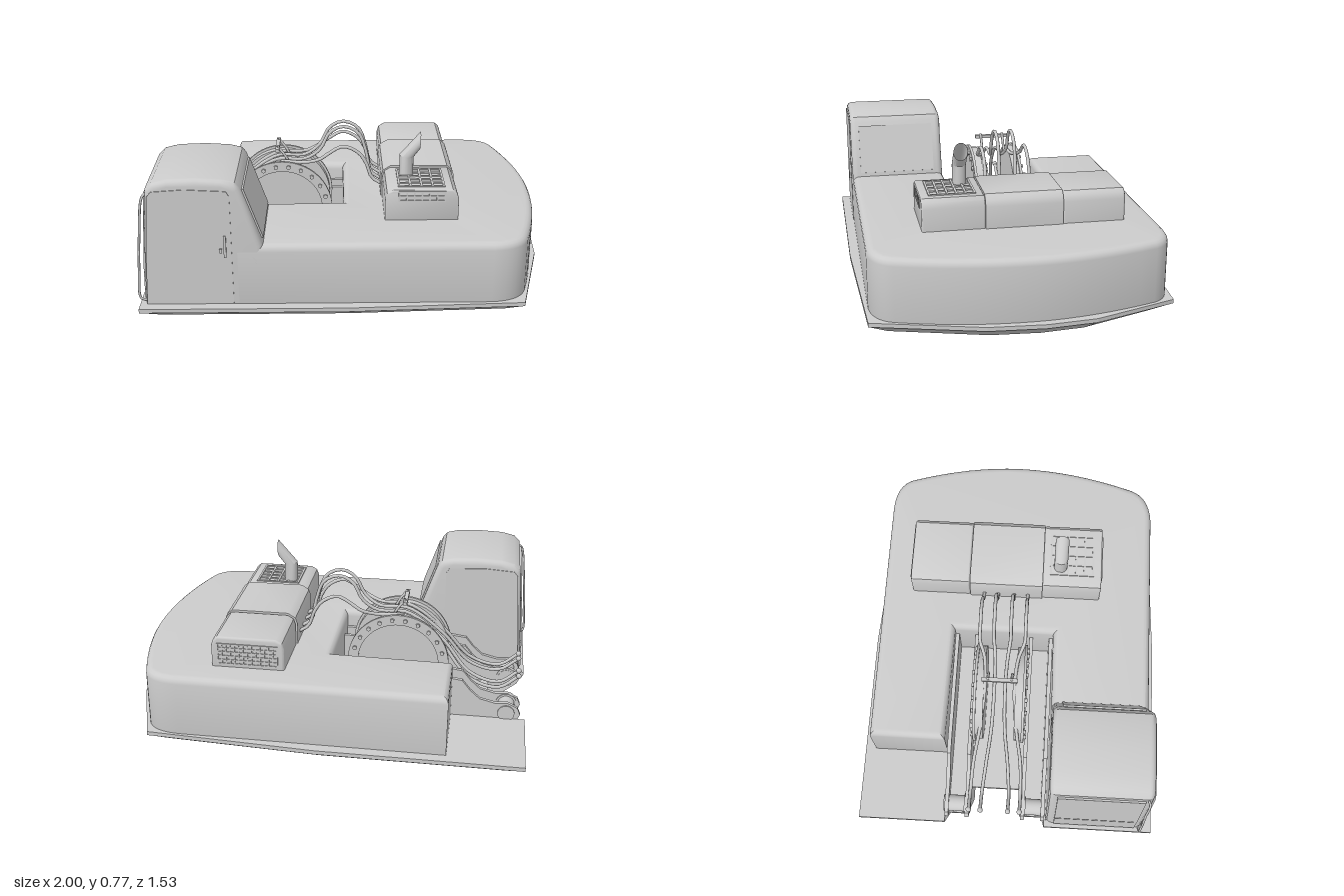
import * as THREE from 'three';
import { toCreasedNormals } from 'three/addons/utils/BufferGeometryUtils.js';

const mat = new THREE.MeshStandardMaterial({ color: 0xcccccc, side: THREE.DoubleSide });
const MID = -0.06; // z of the boom centre line

export function createModel() {
  const root = new THREE.Group();
  const add = (name, geo, parent = root) => {
    const m = new THREE.Mesh(geo, mat);
    m.name = name;
    parent.add(m);
    return m;
  };
  const group = (name) => {
    const g = new THREE.Group();
    g.name = name;
    root.add(g);
    return g;
  };
  const shapeOf = (pts) => new THREE.Shape(pts.map(([a, b]) => new THREE.Vector2(a, b)));
  const extrude = (shape, depth, bevel = 0) => new THREE.ExtrudeGeometry(shape, {
    depth: depth - 2 * bevel, bevelEnabled: bevel > 0, bevelSize: bevel, bevelThickness: bevel,
    bevelOffset: -bevel, bevelSegments: 4, curveSegments: 8,
  }).translate(0, 0, bevel);
  const crease = (g) => toCreasedNormals(g, 0.6);
  // profile in x/y, pushed from z0 to z1
  const side = (pts, z0, z1, bevel = 0) => crease(extrude(shapeOf(pts), z1 - z0, bevel).translate(0, 0, z0));
  // plan in x/z, pushed from y0 to y1
  const plan = (shape, y0, y1, bevel = 0) => extrude(shape, y1 - y0, bevel).rotateX(-Math.PI / 2).translate(0, y0, 0);
  const planShape = (pts) => shapeOf(pts.map(([x, z]) => [x, -z]));
  const box = (name, w, h, d, x, y, z, parent) => add(name, new THREE.BoxGeometry(w, h, d).translate(x, y, z), parent);
  const tube = (name, pts, r, parent) => add(name, new THREE.TubeGeometry(
    new THREE.CatmullRomCurve3(pts.map((p) => new THREE.Vector3(...p))), 48, r, 8), parent);

  // Deck plate with the boom notch, and its tapered underside
  const deck = planShape([
    [-0.99, -0.77], [0, -0.77], [0.84, -0.72], [0.98, -0.31], [1, -0.07], [0.98, 0.2], [0.84, 0.72], [0, 0.76],
    [-0.99, 0.76], [-0.99, 0.2], [-0.94, 0.2], [-0.94, 0.08], [-0.8, 0.08], [-0.8, -0.2], [-0.94, -0.2], [-0.94, -0.32], [-0.99, -0.32],
  ]);
  add('deckPlate', plan(deck, 0.065, 0.085));
  const under = plan(deck, 0, 0.066);
  const p = under.attributes.position;
  for (let i = 0; i < p.count; i++) {
    if (p.getY(i) < 0.01) p.setXYZ(i, p.getX(i) * 0.905, 0, p.getZ(i) * 0.87);
  }
  under.computeVertexNormals();
  add('deckUnderside', under);

  // U-shaped housing with a bowed counterweight end
  const body = new THREE.Shape();
  body.moveTo(-0.62, 0.715);
  body.lineTo(0.68, 0.715);
  body.quadraticCurveTo(0.82, 0.71, 0.855, 0.62);
  body.quadraticCurveTo(0.96, 0.3, 0.96, 0.03);
  body.quadraticCurveTo(0.96, -0.28, 0.855, -0.6);
  body.quadraticCurveTo(0.82, -0.7, 0.68, -0.71);
  body.lineTo(-0.52, -0.71);
  body.lineTo(-0.52, -0.21);
  body.lineTo(-0.02, -0.2);
  body.lineTo(-0.02, 0.32);
  body.lineTo(-0.62, 0.33);
  body.closePath();
  add('housing', crease(plan(body, 0.04, 0.39, 0.035)));

  // Cab
  const cab = group('cab');
  add('cabShell', side([
    [-0.4, 0.06], [-0.4, 0.39], [-0.5, 0.675], [-0.52, 0.7], [-0.58, 0.715], [-0.7, 0.722], [-0.83, 0.717],
    [-0.9, 0.7], [-0.93, 0.67], [-0.945, 0.5], [-0.96, 0.25], [-0.965, 0.06],
  ], 0.21, 0.71, 0.03), cab);
  const door = [[-0.955, 0.09], [-0.545, 0.09], [-0.545, 0.64], [-0.56, 0.665], [-0.75, 0.675], [-0.9, 0.665], [-0.92, 0.64], [-0.945, 0.3]];
  add('door', side(door, 0.705, 0.714), cab);
  add('innerPanel', side(door, 0.206, 0.215), cab);
  box('doorHandle', 0.012, 0.11, 0.012, -0.575, 0.39, 0.718, cab);
  box('doorLock', 0.012, 0.02, 0.012, -0.595, 0.37, 0.718, cab);
  // panel of given width laid along a sloping line in x/y
  const sloped = (name, [x0, y0], [x1, y1], z0, z1) => {
    const m = box(name, 0.012, Math.hypot(x1 - x0, y1 - y0), z1 - z0, 0, 0, 0, cab);
    m.position.set((x0 + x1) / 2, (y0 + y1) / 2, (z0 + z1) / 2);
    m.rotation.z = -Math.atan2(x1 - x0, y1 - y0);
  };
  sloped('rearWindow', [-0.405, 0.41], [-0.49, 0.655], 0.26, 0.665);
  sloped('windscreen', [-0.962, 0.25], [-0.936, 0.64], 0.25, 0.67);
  sloped('frontPanel', [-0.966, 0.1], [-0.962, 0.24], 0.25, 0.67);
  tube('grabRail', [[-0.95, 0.1, 0.69], [-0.985, 0.11, 0.695], [-0.985, 0.25, 0.695], [-0.97, 0.45, 0.69], [-0.945, 0.63, 0.69], [-0.925, 0.65, 0.68]], 0.006, cab);

  // Engine hood in three sections
  const hood = group('engineHood');
  const hoodProfile = (e) => [
    [0.18 - e, 0.38], [0.54 + e, 0.38], [0.54 + e, 0.5], [0.53 + e, 0.53], [0.51, 0.547 + e],
    [0.22, 0.547 + e], [0.19 - e, 0.53], [0.18 - e, 0.5],
  ];
  add('hoodRight', side(hoodProfile(0), 0.13, 0.435, 0.008), hood);
  add('hoodLeft', side(hoodProfile(0), -0.56, -0.25, 0.012), hood);
  add('hoodCentre', side(hoodProfile(0.007), -0.25, 0.13), hood);
  // perforated plate w by h, lying in x/y from the origin
  const grille = (w, h, nx, ny, bar) => {
    const s = shapeOf([[0, 0], [w, 0], [w, h], [0, h]]);
    const cw = (w - bar) / nx, ch = (h - bar) / ny;
    for (let i = 0; i < nx; i++) {
      for (let j = 0; j < ny; j++) {
        const a = bar + i * cw, b = bar + j * ch, c = a + cw - bar, d = b + ch - bar;
        s.holes.push(new THREE.Path([[a, b], [a, d], [c, d], [c, b]].map((q) => new THREE.Vector2(...q))));
      }
    }
    return extrude(s, 0.007);
  };
  add('topGrille', grille(0.23, 0.23, 4, 5, 0.01).rotateX(-Math.PI / 2).translate(0.245, 0.546, 0.395), hood);
  add('sideGrille', grille(0.23, 0.055, 6, 2, 0.008).translate(0.245, 0.488, 0.433), hood);
  add('radiatorGrille', grille(0.3, 0.11, 14, 5, 0.006).translate(0.21, 0.405, -0.565), hood);

  // Exhaust: upright pipe, mitred elbow, upright open mouth
  const rings = [[0.295, 0.5, 0.035, 0], [0.295, 0.645, 0.035, -0.005], [0.362, 0.725, 0.002, 0.045]];
  const N = 20, pos = [], idx = [];
  rings.forEach(([cx, cy, ax, ay], r) => {
    for (let i = 0; i <= N; i++) {
      const a = (i / N) * Math.PI * 2;
      // last ring stands upright: the side facing -x becomes its top
      const c = Math.cos(a) * (r === 2 ? -1 : 1);
      pos.push(cx + ax * c, cy + ay * c, 0.22 + 0.035 * Math.sin(a));
      if (r < 2 && i < N) {
        const k = r * (N + 1) + i;
        idx.push(k, k + N + 1, k + 1, k + 1, k + N + 1, k + N + 2);
      }
    }
  });
  const pipe = new THREE.BufferGeometry();
  pipe.setAttribute('position', new THREE.Float32BufferAttribute(pos, 3));
  pipe.setIndex(idx);
  add('exhaust', toCreasedNormals(pipe, 0.5));

  // Boom foot: bracket plates, pivot pins and bolted discs, mirrored about the centre line
  const bracket = [
    [-0.02, 0.06], [-0.02, 0.3], [-0.6, 0.29], [-0.67, 0.28], [-0.71, 0.23], [-0.76, 0.185], [-0.84, 0.165],
    [-0.9, 0.17], [-0.95, 0.145], [-0.965, 0.11], [-0.95, 0.075], [-0.9, 0.06],
  ];
  for (const s of [-1, 1]) {
    const foot = group(s < 0 ? 'leftBoomFoot' : 'rightBoomFoot');
    for (const off of [0.25, 0.145]) {
      const z = MID + s * off;
      add('bracketPlate', side(bracket, z - 0.01, z + 0.01), foot);
    }
    const cyl = (name, r, len, x, y, z, n = 32) => add(name, new THREE.CylinderGeometry(r, r, len, n).rotateX(Math.PI / 2).translate(x, y, z), foot);
    cyl('pivotPin', 0.042, 0.14, -0.895, 0.115, MID + s * 0.197);
    cyl('pinBoss', 0.052, 0.03, -0.895, 0.115, MID + s * 0.145);
    cyl('disc', 0.245, 0.04, -0.335, 0.295, MID + s * 0.1, 48);
    const rim = new THREE.Shape().absarc(0, 0, 0.258, 0, Math.PI * 2);
    rim.holes.push(new THREE.Path().absarc(0, 0, 0.205, 0, Math.PI * 2, true));
    add('discRim', crease(new THREE.ExtrudeGeometry(rim, { depth: 0.014, bevelEnabled: false, curveSegments: 32 })
      .translate(-0.335, 0.295, MID + s * 0.124 - 0.007)), foot);
    for (let i = 0; i < 22; i++) {
      const a = (i / 22) * Math.PI * 2;
      cyl('bolt', 0.011, 0.014, -0.335 + 0.232 * Math.cos(a), 0.295 + 0.232 * Math.sin(a), MID + s * 0.135, 6);
    }
  }

  // Hydraulic hoses from hood over the discs to the boom foot
  const hoses = group('hoses');
  for (const s of [-1, 1]) {
    for (const [zo, top, end] of [[0.042, 0.715, 0.07], [0.115, 0.632, 0.13]]) {
      const z = MID + s * zo, drop = top - 0.715;
      tube('hose', [
        [0.19, 0.42, z], [0.13, 0.46, z], [0.1, 0.58 + drop / 2, z], [0.06, 0.68 + drop, z], [-0.02, top, z],
        [-0.09, 0.68 + drop, z], [-0.14, 0.59 + drop / 3, z], [-0.22, 0.535, MID + s * zo * 0.75],
        [-0.37, 0.53, MID + s * zo * 0.65], [-0.55, 0.4, MID + s * zo * 0.8],
        [-0.7, 0.23, MID + s * (zo + end) / 2], [-0.85, 0.19, MID + s * end], [-0.95, 0.26, MID + s * end],
      ], 0.009, hoses);
      add('hoseEnd', new THREE.SphereGeometry(0.014, 10, 8).translate(-0.95, 0.26, MID + s * end), hoses);
    }
    tube('clampPost', [[-0.3, 0.52, MID + s * 0.06], [-0.32, 0.56, MID + s * 0.06], [-0.36, 0.615, MID + s * 0.06]], 0.007, hoses);
  }
  box('clampBar', 0.02, 0.016, 0.18, -0.36, 0.6, MID, hoses);

  return root;
}
